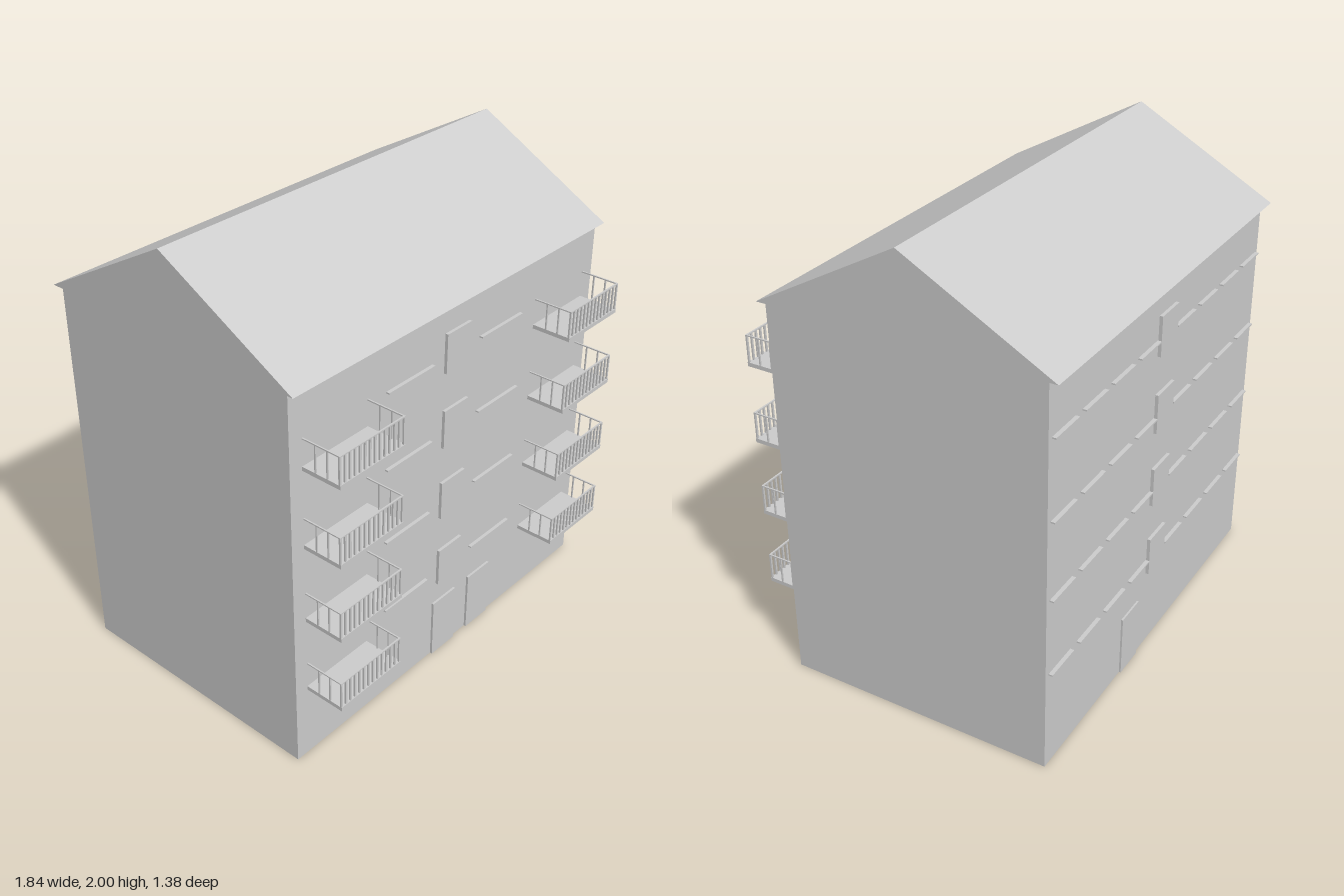
import * as THREE from 'three';

const FRONT = 0.515, BACK = -0.645, EAVES = 1.66, PITCH = 0.335, FLOORS = 4;
const grey = new THREE.MeshStandardMaterial({ color: 0xcccccc, flatShading: true });
const greyBoth = new THREE.MeshStandardMaterial({ color: 0xcccccc, flatShading: true, side: THREE.DoubleSide });

// Box given by its minimum and maximum on each axis
function box(parent, name, x0, x1, y0, y1, z0, z1) {
  const mesh = new THREE.Mesh(new THREE.BoxGeometry(x1 - x0, y1 - y0, z1 - z0), grey);
  mesh.position.set((x0 + x1) / 2, (y0 + y1) / 2, (z0 + z1) / 2);
  mesh.name = name;
  parent.add(mesh);
  return mesh;
}

// Four thin walls, open at the bottom and under the roof
function walls() {
  const geo = new THREE.BoxGeometry(1.82, EAVES, FRONT - BACK);
  const index = Array.from(geo.index.array);
  geo.setIndex([...index.slice(0, 12), ...index.slice(24)]);
  geo.clearGroups();
  const mesh = new THREE.Mesh(geo, greyBoth);
  mesh.position.set(0, EAVES / 2, (FRONT + BACK) / 2);
  mesh.name = 'walls';
  return mesh;
}

// Gabled roof: a triangular prism with its ridge along x
function roof() {
  const gable = new THREE.Shape([
    new THREE.Vector2(-0.55, EAVES),
    new THREE.Vector2(0.685, EAVES),
    new THREE.Vector2(0.068, 2),
  ]);
  const geo = new THREE.ExtrudeGeometry(gable, { depth: 1.84, bevelEnabled: false });
  geo.translate(0, 0, -0.92).rotateY(Math.PI / 2);
  const mesh = new THREE.Mesh(geo, grey);
  mesh.name = 'roof';
  return mesh;
}

// Balcony centred on x = 0, slab underside at y = 0, wall at z = FRONT
function balcony() {
  const g = new THREE.Group();
  g.name = 'balcony';
  const half = 0.17, outer = 0.69, slab = 0.017, top = 0.133, bars = 14;
  box(g, 'slab', -half, half, 0, slab, FRONT, outer);
  box(g, 'frontRail', -half, half, top - 0.005, top, outer - 0.009, outer - 0.002);
  for (let i = 0; i < bars; i++) {
    const x = -half + 0.004 + i * (2 * half - 0.008) / (bars - 1);
    box(g, 'frontBar', x - 0.004, x + 0.004, slab, top - 0.005, outer - 0.009, outer - 0.002);
  }
  for (const s of [-1, 1]) {
    const x = s * (half - 0.003);
    box(g, 'sideRail', x - 0.003, x + 0.003, top - 0.005, top, FRONT, outer - 0.009);
    for (const z of [0.575, 0.63]) {
      box(g, 'sideBar', x - 0.003, x + 0.003, slab, top - 0.005, z - 0.003, z + 0.003);
    }
  }
  return g;
}

export function createModel() {
  const model = new THREE.Group();
  model.name = 'apartmentBlock';
  model.add(walls(), roof());

  // Entrance doors
  box(model, 'frontDoor', -0.095, 0.05, 0, 0.27, FRONT, 0.525);
  box(model, 'frontDoor', 0.14, 0.285, 0, 0.27, FRONT, 0.525);
  box(model, 'backDoor', 0.14, 0.285, 0, 0.27, -0.653, BACK);

  for (let f = 0; f < FLOORS; f++) {
    const y = 0.365 + f * PITCH;
    const ledge = y + 0.065;

    // Stairwell windows
    box(model, 'frontWindow', -0.074, 0.071, y, y + 0.17, FRONT, 0.528);
    box(model, 'backWindow', -0.074, 0.071, y, y + 0.17, -0.659, BACK);

    // Window ledges
    box(model, 'frontLedge', -0.41, -0.147, ledge, ledge + 0.006, FRONT, 0.53);
    box(model, 'frontLedge', 0.142, 0.405, ledge, ledge + 0.006, FRONT, 0.53);
    for (const s of [-1, 1]) {
      for (let i = 0; i < 4; i++) {
        const x = s * (0.16 + i * 0.215);
        box(model, 'backLedge', x - 0.083, x + 0.083, ledge, ledge + 0.006, -0.662, BACK);
      }
      const b = balcony();
      b.position.set(s * 0.677 - 0.002, 0.323 + f * 0.3345, 0);
      model.add(b);
    }
  }
  return model;
}
